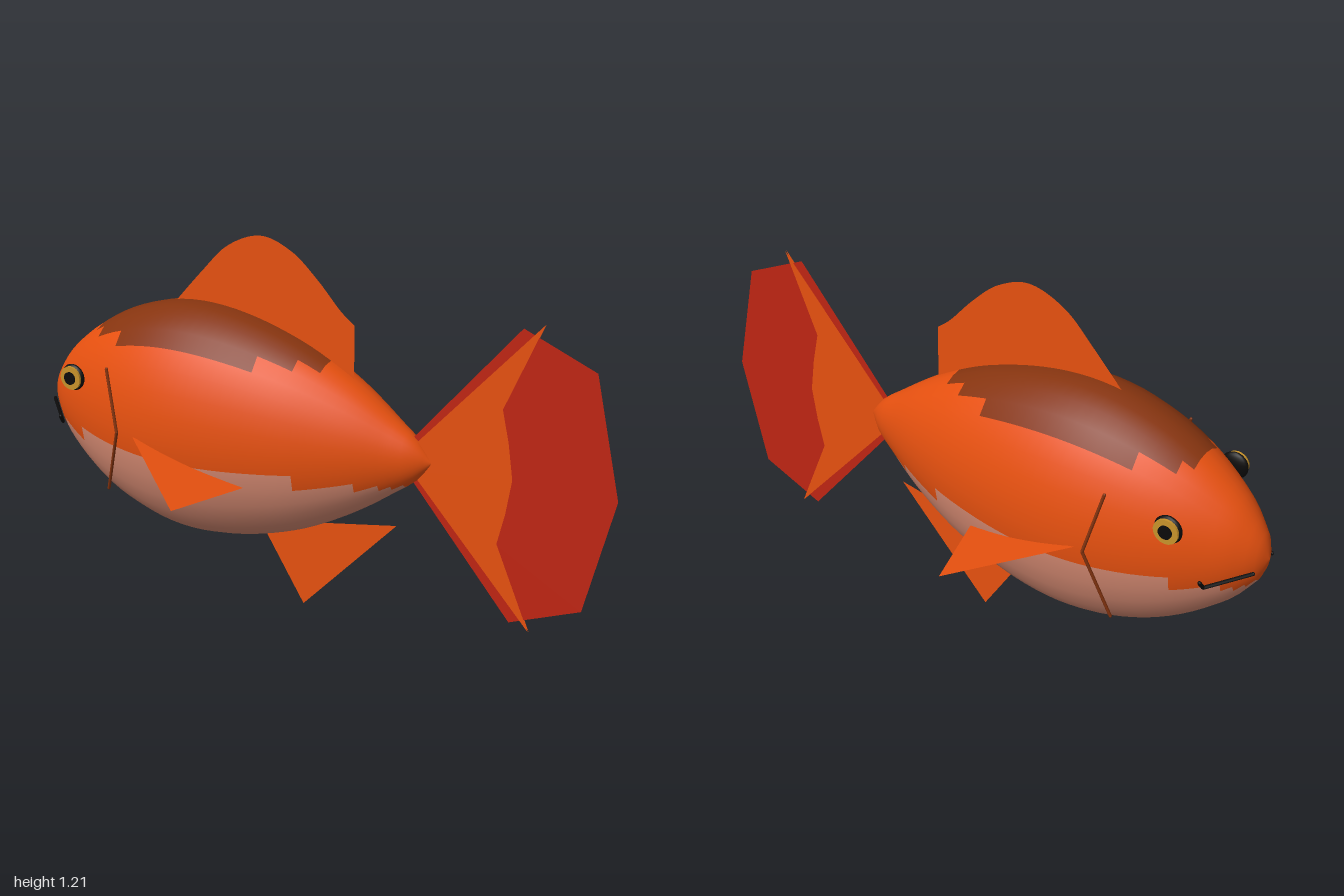
import * as THREE from 'three';

const mat = (name, color, side = THREE.FrontSide) => {
  const m = new THREE.MeshStandardMaterial({ color, side });
  m.name = name;
  return m;
};

export function createModel() {
  const fish = new THREE.Group();
  fish.name = 'fish';

  const orange = mat('orange', 0xe6500f, THREE.DoubleSide);
  const back = mat('darkBack', 0x86340f);
  const belly = mat('paleBelly', 0xd68a72);
  const red = mat('tailRed', 0xbe2513, THREE.DoubleSide);
  const yellow = mat('eyeYellow', 0xc8922a);
  const black = mat('black', 0x0b0a0a);

  const add = (name, geometry, material, parent = fish) => {
    const mesh = new THREE.Mesh(geometry, material);
    mesh.name = name;
    parent.add(mesh);
    return mesh;
  };

  // Body: oval lathe along x, faces sorted by height into back, sides and belly
  const profile = new THREE.SplineCurve([
    [0, -1], [0.065, -0.983], [0.115, -0.95], [0.175, -0.9], [0.256, -0.8], [0.315, -0.7],
    [0.355, -0.6], [0.38, -0.5], [0.389, -0.4], [0.383, -0.3], [0.365, -0.2], [0.337, -0.1],
    [0.3, 0], [0.25, 0.1], [0.19, 0.2], [0.118, 0.3], [0.065, 0.37], [0, 0.42],
  ].map(([r, x]) => new THREE.Vector2(r, x)));
  const points = profile.getSpacedPoints(42);
  points.forEach((p) => { p.x = Math.max(p.x, 0); });
  const body = new THREE.LatheGeometry(points, 32);
  body.rotateZ(-Math.PI / 2);
  body.scale(1, 1, 0.655);
  body.translate(0, 0.586, 0);

  const zones = [[], [], []];
  const index = body.index.array;
  const pos = body.attributes.position;
  for (let i = 0; i < index.length; i += 6) {
    const quad = Array.from(index.slice(i, i + 6));
    const corners = [...new Set(quad)];
    const y = corners.reduce((sum, v) => sum + pos.getY(v), 0) / corners.length;
    zones[y > 0.847 ? 1 : y < 0.505 ? 2 : 0].push(...quad);
  }
  body.setIndex(zones.flat());
  let start = 0;
  zones.forEach((zone, i) => {
    body.addGroup(start, zone.length, i);
    start += zone.length;
  });
  add('body', body, [orange, back, belly]);

  // Flat sheets lying in the middle plane
  const sheet = (outline) =>
    new THREE.ShapeGeometry(new THREE.Shape(outline.map(([x, y]) => new THREE.Vector2(x, y))));

  // Dorsal fin with a curved top edge
  const dorsal = new THREE.Shape();
  dorsal.moveTo(-0.53, 0.93);
  dorsal.splineThru([
    [-0.4, 1.07], [-0.3, 1.165], [-0.18, 1.21], [-0.07, 1.175], [0.02, 1.1], [0.1, 1.015], [0.15, 0.975],
  ].map(([x, y]) => new THREE.Vector2(x, y)));
  dorsal.lineTo(0.15, 0.72);
  dorsal.lineTo(-0.4, 0.8);
  add('dorsalFin', new THREE.ShapeGeometry(dorsal), orange);

  // Lower fin
  add('analFin', sheet([[-0.2, 0.27], [-0.03, 0], [0.305, 0.355], [0.04, 0.305], [-0.05, 0.32]]), orange);

  // Tail: red fan with an orange inner web on each face
  add('tailFan', sheet([
    [0.34, 0.64], [0.69, 1.05], [0.915, 0.955], [1, 0.588], [0.915, 0.22], [0.69, 0.125], [0.34, 0.535],
  ]), red);
  const web = sheet([
    [0.35, 0.625], [0.755, 1.07], [0.64, 0.8], [0.663, 0.7], [0.68, 0.588],
    [0.663, 0.475], [0.64, 0.375], [0.755, 0.11], [0.35, 0.55],
  ]);
  for (const s of [-1, 1]) add('tailWeb', web, orange).position.z = 0.003 * s;

  // Thin line bent through a few points
  const line = (name, pts, radius, material, parent) => {
    const path = new THREE.CurvePath();
    const v = pts.map((p) => new THREE.Vector3(...p));
    for (let i = 1; i < v.length; i++) path.add(new THREE.LineCurve3(v[i - 1], v[i]));
    path.curves.forEach((c) => add(name, new THREE.TubeGeometry(c, 1, radius, 6), material, parent));
    v.forEach((p) => add(name + 'Joint', new THREE.SphereGeometry(radius, 6, 4), material, parent)
      .position.copy(p));
  };

  // Paired parts, mirrored across z
  for (const s of [1, -1]) {
    const side = new THREE.Group();
    side.name = s > 0 ? 'frontFlank' : 'rearFlank';
    fish.add(side);

    const fin = new THREE.BufferGeometry().setFromPoints([
      new THREE.Vector3(-0.51, 0.573, 0.25 * s),
      new THREE.Vector3(-0.2, 0.475, 0.48 * s),
      new THREE.Vector3(-0.12, 0.468, 0.21 * s),
    ]);
    if (s < 0) fin.setIndex([0, 2, 1]);
    fin.computeVertexNormals();
    add('pectoralFin', fin, orange, side);

    line('gillLine', [[-0.6, 0.785, 0.25 * s], [-0.552, 0.588, 0.275 * s], [-0.63, 0.365, 0.23 * s]],
      0.005, back, side);
    line('mouth', [[-0.98, 0.563, 0.06 * s], [-0.875, 0.525, 0.15 * s], [-0.87, 0.55, 0.168 * s]],
      0.006, black, side);

    // Eye: dark socket, yellow iris and dark pupil
    const eye = new THREE.Group();
    eye.name = 'eye';
    eye.position.set(-0.777, 0.713, 0.2 * s);
    side.add(eye);
    const socket = add('socket', new THREE.SphereGeometry(0.044, 20, 12), black, eye);
    socket.scale.z = 0.35;
    const disc = (name, r, z, m) => {
      const d = add(name, new THREE.CylinderGeometry(r, r, 0.008, 20), m, eye);
      d.rotation.x = Math.PI / 2;
      d.position.z = z * s;
    };
    disc('iris', 0.039, 0.013, yellow);
    disc('pupil', 0.021, 0.018, black);
  }

  return fish;
}
